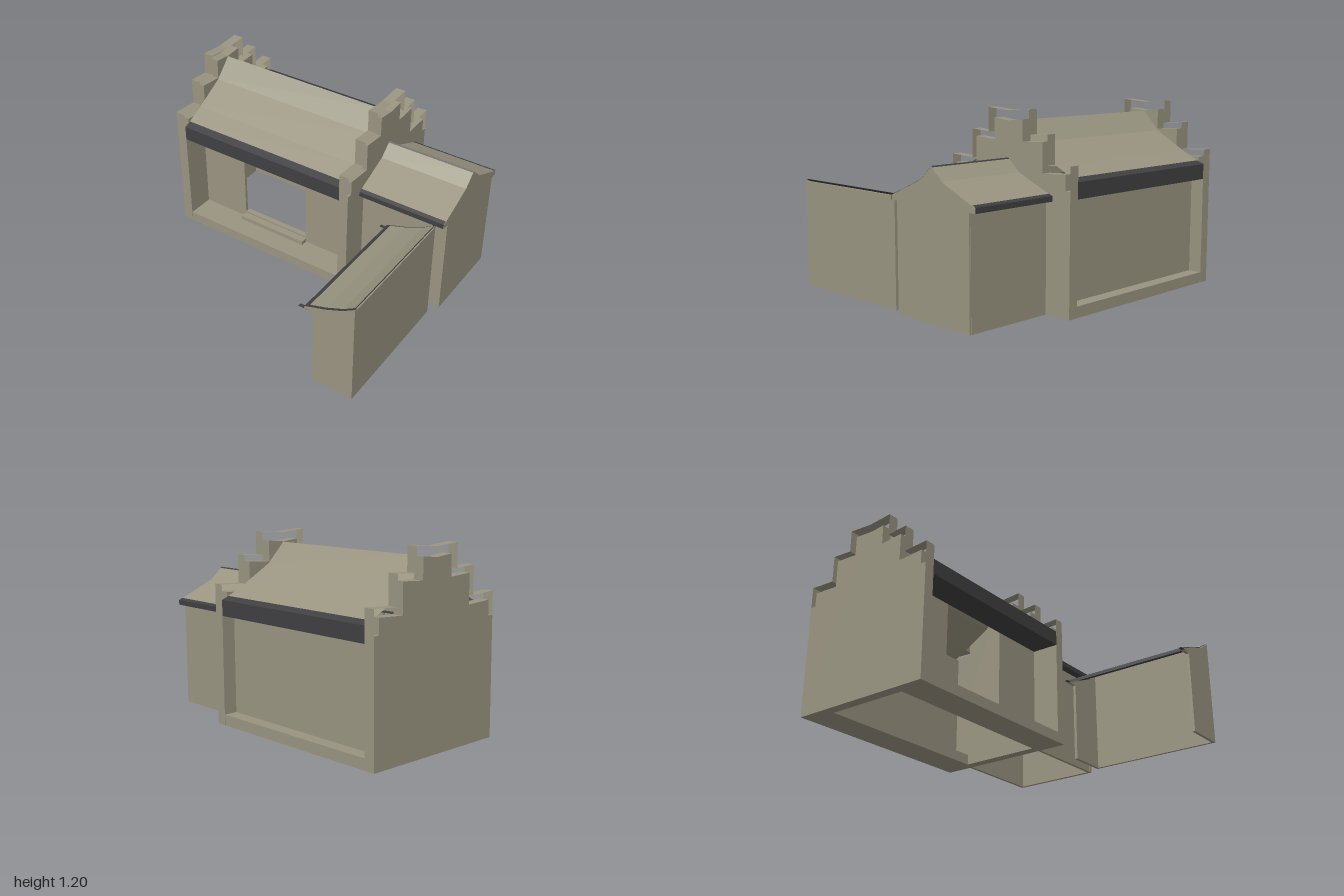
import * as THREE from 'three';

const plaster = new THREE.MeshStandardMaterial({ name: 'plaster', color: 0x999480, side: THREE.DoubleSide });
const darkTile = new THREE.MeshStandardMaterial({ name: 'darkTile', color: 0x404042, side: THREE.DoubleSide });
const MID = -0.405; // z of the ridges

export function createModel() {
  const root = new THREE.Group();
  root.name = 'courtyardHouse';

  const add = (name, geo, mat) => {
    const mesh = new THREE.Mesh(geo, mat);
    mesh.name = name;
    root.add(mesh);
    return mesh;
  };
  const box = (name, x0, x1, y0, y1, z0, z1, mat = plaster) => {
    const geo = new THREE.BoxGeometry(x1 - x0, y1 - y0, z1 - z0);
    geo.translate((x0 + x1) / 2, (y0 + y1) / 2, (z0 + z1) / 2);
    return add(name, geo, mat);
  };
  // open folded sheet: profile of [u, y] swept from a to b along x (u = z) or z (u = x)
  const sheet = (name, profile, a, b, mat, axis = 'x') => {
    const pos = [];
    const put = (t, [u, y]) => (axis === 'x' ? pos.push(t, y, u) : pos.push(u, y, t));
    for (let i = 0; i + 1 < profile.length; i++) {
      const p = profile[i], q = profile[i + 1];
      put(a, p); put(b, p); put(b, q);
      put(a, p); put(b, q); put(a, q);
    }
    const geo = new THREE.BufferGeometry();
    geo.setAttribute('position', new THREE.Float32BufferAttribute(pos, 3));
    geo.computeVertexNormals();
    return add(name, geo, mat);
  };
  const extrude = (pts, depth) => new THREE.ExtrudeGeometry(
    new THREE.Shape(pts.map(([x, y]) => new THREE.Vector2(x, y))), { depth, bevelEnabled: false });
  // half profile of [distance from ridge, y], outside to centre, mirrored to a full one
  const mirror = half => [
    ...half.map(([d, y]) => [MID + d, y]),
    ...half.slice(0, -1).reverse().map(([d, y]) => [MID - d, y]),
  ];
  // solid slab across x from a [z, y] outline
  const slabX = (name, pts, x0, x1) => {
    const geo = extrude(pts.map(([z, y]) => [-z, y]), x1 - x0);
    geo.rotateY(Math.PI / 2);
    geo.translate(x0, 0, 0);
    return add(name, geo, plaster);
  };

  // stepped gable walls, with a thin open coping floating over the steps
  const gable = mirror([[0.495, 0], [0.495, 0.75], [0.457, 0.75], [0.457, 0.845], [0.277, 0.835],
    [0.277, 1.02], [0.117, 1.01], [0.117, 1.142], [0, 1.13]]);
  const coping = mirror([[0.495, 0.75], [0.495, 0.895], [0.315, 0.885], [0.315, 1.065],
    [0.17, 1.055], [0.17, 1.203], [0, 1.19]]);
  for (const [side, x0, x1] of [['right', -1, -0.93], ['left', 0.325, 0.392]]) {
    slabX(side + 'GableWall', gable, x0, x1);
    sheet(side + 'GableCoping', coping, x0, x1, plaster);
  }

  // main hall: roof and dark eaves
  const HX0 = -0.93, HX1 = 0.325;
  sheet('mainRoof', mirror([[0.445, 0.82], [0.325, 0.88], [0.12, 1.0], [0, 1.128]]), HX0, HX1, plaster);
  for (const [side, s, inner] of [['front', 1, 0.305], ['back', -1, 0.405]]) {
    const eave = [[0.445, 0.82], [0.495, 0.8], [0.495, 0.7], [inner, 0.7]];
    sheet(side + 'Eave', eave.map(([d, y]) => [MID + s * d, y]), HX0, HX1, darkTile);
  }

  // main hall: walls, doorway, plinths and sill (no floor inside)
  box('backWall', HX0, HX1, 0, 0.82, -0.81, -0.79);
  box('frontWallRight', HX0, -0.58, 0, 0.86, -0.12, -0.1);
  box('frontWallLeft', -0.06, HX1, 0, 0.86, -0.12, -0.1);
  box('doorHead', -0.58, -0.06, 0.72, 0.86, -0.12, -0.1);
  box('threshold', -0.58, -0.06, 0, 0.112, -0.12, -0.1);
  box('frontPlinth', HX0, HX1, 0, 0.07, -0.1, 0.088);
  box('backPlinth', HX0, HX1, 0, 0.07, -0.898, -0.68);
  box('doorSill', -0.585, -0.055, 0.07, 0.1, -0.15, -0.05);

  // side room: hollow walls, roof, eaves and ridge
  const AX0 = 0.392, AX1 = 1;
  box('sideRoomFront', AX0, AX1 - 0.01, 0, 0.72, -0.12, -0.1);
  box('sideRoomBack', AX0, AX1 - 0.01, 0, 0.72, -0.715, -0.695);
  const roofHalf = [[0.355, 0.71], [0.238, 0.76], [0.09, 0.825], [0, 0.905]];
  slabX('sideRoomGable', mirror([[0.308, 0], [0.308, 0.68], [0.355, 0.68], ...roofHalf]), AX1 - 0.02, AX1);
  sheet('sideRoomRoof', mirror(roofHalf.map(([d, y]) => [d, y + 0.002])), AX0, AX1, plaster);
  sheet('sideRoomRidge', mirror([[0.008, 0.901], [0, 0.909]]), AX0, AX1, darkTile);
  for (const s of [1, -1]) {
    const eave = [[0.333, 0.724], [0.358, 0.713], [0.358, 0.68], [0.305, 0.68]];
    sheet('sideRoomEave', eave.map(([d, y]) => [MID + s * d, y]), AX0, AX1 - 0.001, darkTile);
  }

  // lean-to gallery in front: open towards the court, with a single roof slope
  const slope = [[0.62, 0.565], [0.76, 0.61], [0.877, 0.66], [0.957, 0.71]];
  const endWall = [[0.68, 0], [0.957, 0], ...slope.slice().reverse().map(([x, y]) => [x, y - 0.004]),
    [0.615, 0.54], [0.68, 0.54]];
  for (const z of [-0.02, 0.88]) {
    const geo = extrude(endWall, 0.02);
    geo.translate(0, 0, z);
    add('galleryEndWall', geo, plaster);
    box('galleryEaveTail', 0.58, 0.65, 0.546, 0.55, z, z + 0.02, darkTile);
  }
  box('galleryOuterWall', 0.94, 0.957, 0, 0.695, -0.02, 0.9);
  sheet('galleryRoofEdge', [[0.615, 0.54], ...slope], -0.02, 0.9, darkTile, 'z');
  sheet('galleryRoof', [[0.65, 0.579], [0.76, 0.614], [0.877, 0.664], [0.95, 0.71]], -0.008, 0.885, plaster, 'z');

  return root;
}
